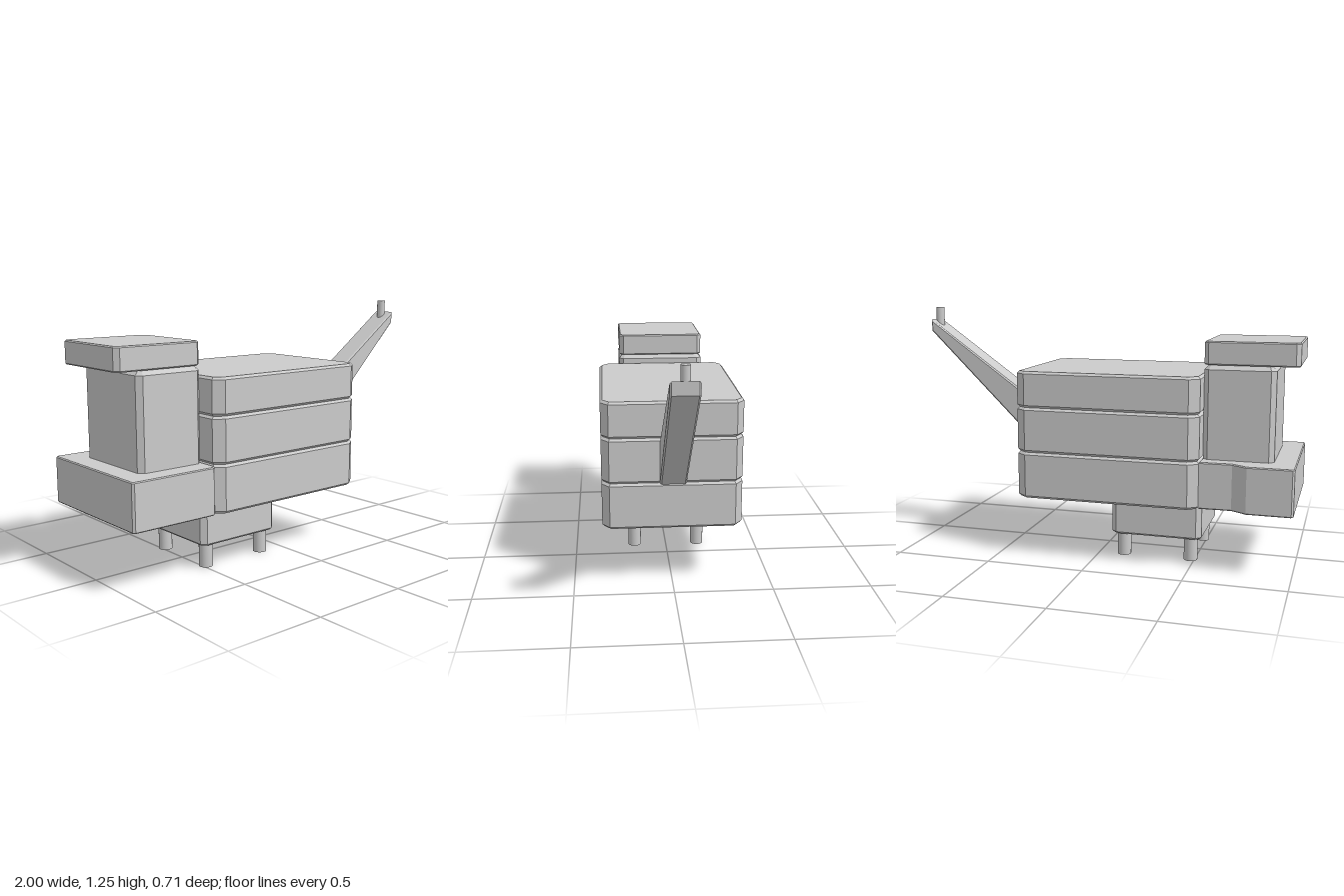
import * as THREE from 'three';

const material = new THREE.MeshStandardMaterial({ color: 0xcccccc, flatShading: true });
const smooth = new THREE.MeshStandardMaterial({ color: 0xcccccc });

// Extrudes an outline to the given depth, with one chamfer inside its limits
function chamferedExtrude(points, depth, bevel) {
  const shape = new THREE.Shape(points.map(([x, y]) => new THREE.Vector2(x, y)));
  return new THREE.ExtrudeGeometry(shape, {
    depth: depth - 2 * bevel, bevelEnabled: true, bevelSegments: 1,
    bevelThickness: bevel, bevelSize: bevel, bevelOffset: -bevel,
  }).translate(0, 0, bevel);
}

// Upright slab from an x/z outline, between two heights
function slab(name, outline, y0, y1, bevel) {
  const geometry = chamferedExtrude(outline.map(([x, z]) => [x, -z]), y1 - y0, bevel);
  geometry.rotateX(-Math.PI / 2).translate(0, y0, 0);
  const mesh = new THREE.Mesh(geometry, material);
  mesh.name = name;
  return mesh;
}

// Rectangle with cut corners
function cutRect(x0, x1, halfZ, cx, cz = cx) {
  return [
    [x0 + cx, halfZ], [x1 - cx, halfZ], [x1, halfZ - cz], [x1, cz - halfZ],
    [x1 - cx, -halfZ], [x0 + cx, -halfZ], [x0, cz - halfZ], [x0, halfZ - cz],
  ];
}

function rod(name, radius, x, y0, y1, z) {
  const mesh = new THREE.Mesh(new THREE.CylinderGeometry(radius, radius, y1 - y0, 20), smooth);
  mesh.position.set(x, (y0 + y1) / 2, z);
  mesh.name = name;
  return mesh;
}

export function createModel() {
  const model = new THREE.Group();
  model.name = 'steppedMachine';

  // Three stacked body layers
  [['lowerBody', 0.305, 0.543], ['middleBody', 0.543, 0.773], ['upperBody', 0.773, 0.957]]
    .forEach(([name, y0, y1]) =>
      model.add(slab(name, cutRect(-0.54, 0.4, 0.352, 0.05, 0.038), y0, y1, 0.012)));

  // Base block and its four legs
  model.add(slab('base', cutRect(-0.54, -0.075, 0.235, 0.025), 0.12, 0.308, 0.01));
  for (const x of [-0.48, -0.13])
    for (const z of [-0.175, 0.175])
      model.add(rod('leg', 0.035, x, 0, 0.125, z));

  // Side platform with a stepped rear edge
  model.add(slab('sidePlatform', [
    [-1, 0.335], [-0.99, 0.345], [-0.555, 0.345], [-0.538, 0.325],
    [-0.538, -0.315], [-0.7, -0.31], [-0.775, -0.355], [-0.99, -0.355], [-1, -0.345],
  ], 0.307, 0.54, 0.005));

  // Tower and its overhanging cap
  model.add(slab('tower', cutRect(-0.89, -0.54, 0.238, 0.025), 0.515, 1.008, 0.025));
  model.add(slab('towerCap', cutRect(-1, -0.54, 0.235, 0.022), 1.005, 1.12, 0.006));

  // Tapered boom with a pin at the tip
  const boom = new THREE.Mesh(chamferedExtrude([
    [0.38, 0.525], [0.4, 0.54], [0.998, 1.128], [1, 1.19], [0.4, 0.765], [0.38, 0.75],
  ], 0.132, 0.008).translate(0, 0, -0.068), material);
  boom.name = 'boom';
  model.add(boom, rod('boomPin', 0.022, 0.975, 1.13, 1.255, -0.004));

  return model;
}
